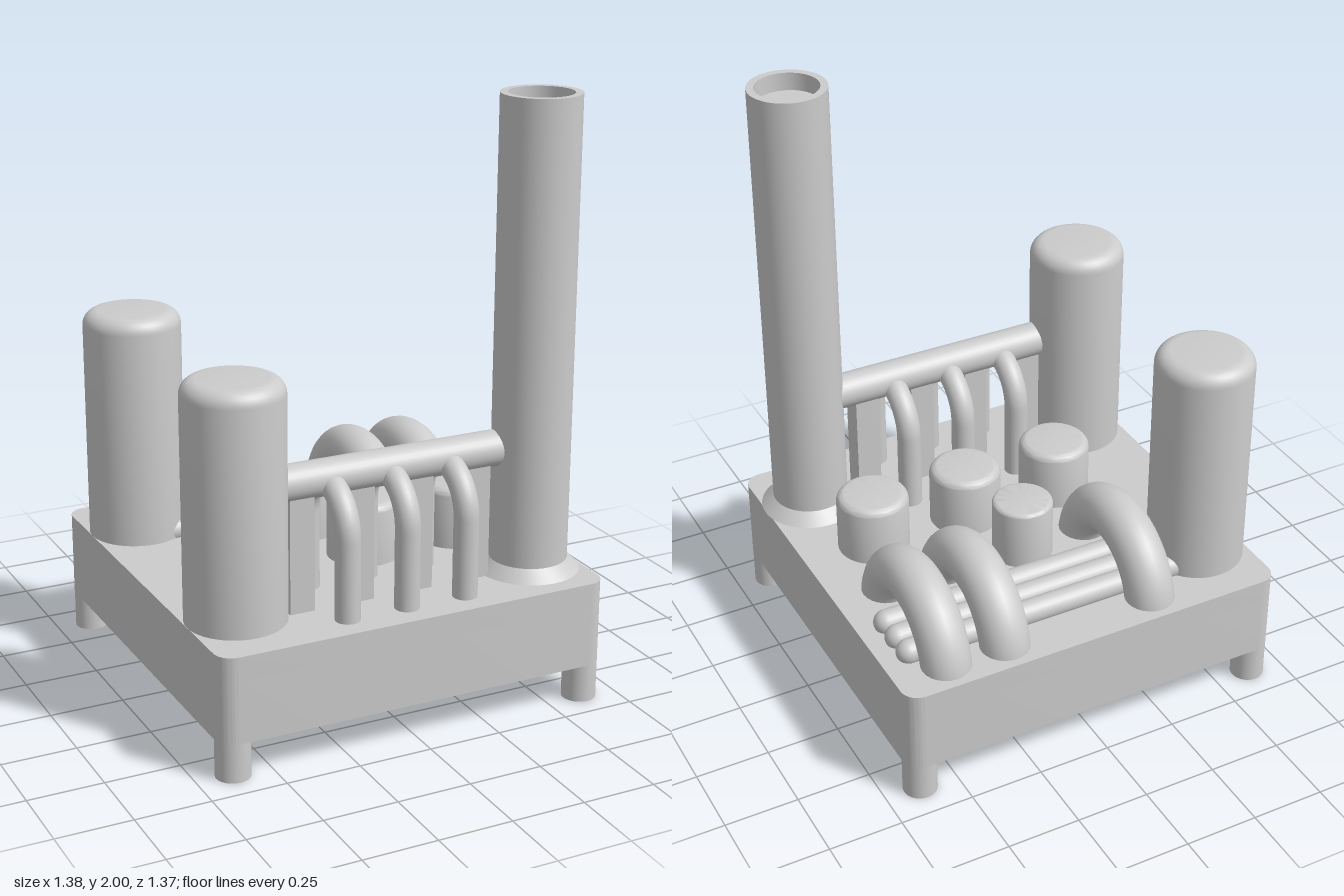
import * as THREE from 'three';
import { toCreasedNormals } from 'three/addons/utils/BufferGeometryUtils.js';

const V2 = (x, y) => new THREE.Vector2(x, y);
const V3 = (x, y, z) => new THREE.Vector3(x, y, z);
const DECK = 0.42;      // top of the base
const DECK_LOW = 0.34;  // underside of the deck plate
const BASE_LOW = 0.13;

const tanks = [[-0.52, -0.42], [-0.52, 0.42]];
const stubs = [[-0.27, 0.12], [0.08, 0.12], [0.43, 0.12]];
const smallStub = [0, -0.15];

function roundedSquare(half, r, Type = THREE.Shape) {
  const s = new Type();
  s.moveTo(half, -half + r);
  [[1, 1, 0], [-1, 1, 1], [-1, -1, 2], [1, -1, 3]].forEach(([sx, sy, q]) =>
    s.absarc(sx * (half - r), sy * (half - r), r, q * Math.PI / 2, (q + 1) * Math.PI / 2));
  s.closePath();
  return s;
}

// Extrudes a plan shape upwards from y0 to y1
function slab(shape, y0, y1) {
  const g = new THREE.ExtrudeGeometry(shape, { depth: y1 - y0, bevelEnabled: false, curveSegments: 16 });
  g.rotateX(-Math.PI / 2).translate(0, y0, 0);
  return toCreasedNormals(g, 0.6);
}

// Upright shell with a rounded top edge and an open foot
function domedShell(r, top, bevel) {
  const pts = [V2(r, DECK)];
  for (let i = 0; i <= 8; i++) {
    const a = i / 8 * Math.PI / 2;
    pts.push(V2(r - bevel + bevel * Math.cos(a), top - bevel + bevel * Math.sin(a)));
  }
  pts.push(V2(0, top));
  return toCreasedNormals(new THREE.LatheGeometry(pts, 48), 0.5);
}

// U-shaped pipe standing in the z-y plane
function archGeometry(major, tube, centreY, footY) {
  const pts = new THREE.CurvePath();
  const arc = [];
  for (let i = 0; i <= 24; i++) {
    const a = i / 24 * Math.PI;
    arc.push(V3(0, centreY + major * Math.sin(a), major * Math.cos(a)));
  }
  pts.add(new THREE.LineCurve3(V3(0, footY, major), arc[0]));
  pts.add(new THREE.CatmullRomCurve3(arc));
  pts.add(new THREE.LineCurve3(arc[24], V3(0, footY, -major)));
  return new THREE.TubeGeometry(pts, 64, tube, 24);
}

export function createModel() {
  const model = new THREE.Group();
  model.name = 'processPlant';
  const mat = new THREE.MeshStandardMaterial({ color: 0xcccccc });
  const add = (name, geometry, x = 0, y = 0, z = 0) => {
    const mesh = new THREE.Mesh(geometry, mat);
    mesh.name = name;
    mesh.position.set(x, y, z);
    model.add(mesh);
    return mesh;
  };

  // Hollow base: deck plate with openings below the vessels, and a skirt
  const deck = roundedSquare(0.685, 0.06);
  const opening = ([x, z], r) => {
    const hole = new THREE.Path();
    hole.absarc(x, -z, r, 0, Math.PI * 2, true);
    deck.holes.push(hole);
  };
  tanks.forEach(p => opening(p, 0.11));
  stubs.forEach(p => opening(p, 0.1));
  opening(smallStub, 0.08);
  add('deck', slab(deck, DECK_LOW, DECK));
  const skirt = roundedSquare(0.685, 0.06);
  skirt.holes.push(roundedSquare(0.61, 0.01, THREE.Path));
  add('skirt', slab(skirt, BASE_LOW, DECK_LOW));

  // Legs, running up to the deck plate
  for (const x of [-0.627, 0.627]) for (const z of [-0.627, 0.627])
    add('leg', new THREE.CylinderGeometry(0.057, 0.057, DECK_LOW, 32), x, DECK_LOW / 2, z);

  // Vessels
  tanks.forEach(([x, z]) => add('tank', domedShell(0.165, 1.21, 0.05), x, 0, z));
  stubs.forEach(([x, z]) => add('stub', domedShell(0.123, 0.63, 0.03), x, 0, z));
  add('smallStub', domedShell(0.103, 0.63, 0.015), smallStub[0], 0, smallStub[1]);

  // Chimney with flared foot and recessed mouth
  const stack = [[0.172, DECK], [0.13, 0.46], [0.13, 2], [0.105, 2], [0.105, 1.94], [0, 1.94]];
  add('chimney', toCreasedNormals(new THREE.LatheGeometry(stack.map(p => V2(...p)), 48), 0.5), 0.52, 0, 0.455);

  // Large arched pipes at the back
  for (const x of [-0.25, 0.29, 0.5])
    add('largeArch', archGeometry(0.227, 0.083, 0.375, 0.35), x, 0, -0.35);

  // Three round-ended pipes on the deck
  for (const z of [-0.483, -0.4, -0.315])
    add('deckPipe', new THREE.CapsuleGeometry(0.042, 1.07, 10, 24), 0.053, 0.44, z).rotation.z = Math.PI / 2;

  // Header pipe between front tank and chimney
  add('headerPipe', new THREE.CylinderGeometry(0.06, 0.06, 0.96, 32), 0, 0.847, 0.435).rotation.z = Math.PI / 2;

  // Small arches over the header
  for (const x of [-0.21, 0, 0.21])
    add('smallArch', archGeometry(0.146, 0.041, 0.688, 0.41), x, 0, 0.435);

  // Posts carrying the header
  for (const x of [-0.315, -0.105, 0.105, 0.315])
    add('headerPost', new THREE.BoxGeometry(0.085, 0.4, 0.08), x, 0.62, 0.435);

  return model;
}
